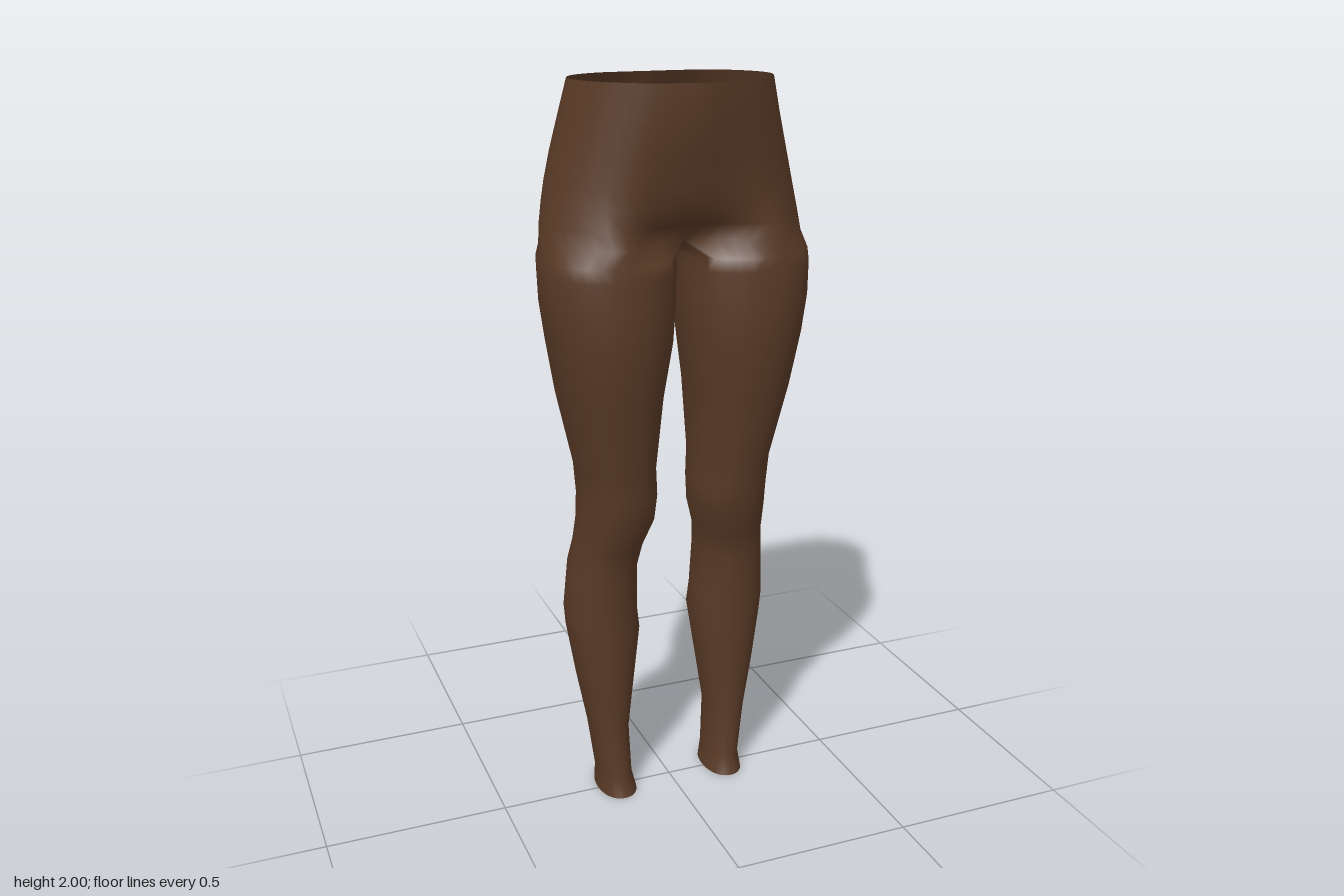
import * as THREE from 'three';
import { mergeVertices } from 'three/addons/utils/BufferGeometryUtils.js';

const OUTER = 24; // segments from front centre round the outside to back centre
const INNER = 12; // segments along the inside of the leg

// Leg rings: y, inner x, outer x, front z, back z, z of the widest point
const LEG = [
  [0, 0.11, 0.22, 0.08, -0.1, -0.01],
  [0.05, 0.12, 0.215, 0.06, -0.1, -0.02],
  [0.2, 0.125, 0.235, 0.055, -0.105, -0.025],
  [0.35, 0.105, 0.262, 0.065, -0.135, -0.035],
  [0.5, 0.085, 0.285, 0.07, -0.17, -0.04],
  [0.56, 0.092, 0.29, 0.072, -0.165, -0.04],
  [0.7, 0.095, 0.28, 0.082, -0.145, -0.03],
  [0.77, 0.085, 0.27, 0.1, -0.122, -0.01],
  [0.85, 0.06, 0.265, 0.135, -0.107, 0.01],
  [0.92, 0.055, 0.265, 0.145, -0.11, 0.02],
  [1.0, 0.06, 0.27, 0.155, -0.12, 0.02],
  [1.2, 0.045, 0.315, 0.195, -0.15, 0.03],
  [1.35, 0.022, 0.342, 0.218, -0.155, 0.04],
  [1.45, 0.015, 0.357, 0.218, -0.155, 0.045],
  [1.53, 0.012, 0.36, 0.214, -0.157, 0.045],
  [1.565, 0.012, 0.357, 0.21, -0.182, 0.04],
];

// Hip rows: y, front centre z, front z, outer x, side z, seat z, back centre z
const HIP = [
  [1.605, 0.1, 0.205, 0.352, 0.035, -0.212, -0.12],
  [1.65, 0.152, 0.195, 0.345, 0.03, -0.238, -0.185],
  [1.7, 0.185, 0.188, 0.336, 0.025, -0.249, -0.207],
  [1.75, 0.2, 0.188, 0.326, 0.02, -0.25, -0.213],
  [1.82, 0.218, 0.192, 0.31, 0.015, -0.235, -0.207],
  [1.91, 0.243, 0.2, 0.288, 0.01, -0.195, -0.178],
  [2, 0.247, 0.205, 0.267, 0.01, -0.147, -0.146],
];

function legRing([y, xi, xo, zf, zb, zc]) {
  const cx = (xi + xo) / 2, rx = (xo - xi) / 2;
  const soft = (v) => Math.sign(v) * Math.abs(v) ** 0.92;
  const start = 0.75 * Math.PI; // where the inside of the leg begins
  const at = (a) => {
    const s = soft(Math.sin(a));
    return new THREE.Vector3(cx + rx * soft(Math.cos(a)), y, zc + s * (s > 0 ? zf - zc : zc - zb));
  };
  const ring = [];
  for (let i = 0; i < OUTER; i++) ring.push(at(start - (i / OUTER) * 1.5 * Math.PI));
  for (let i = 0; i < INNER; i++) ring.push(at(-start - (i / INNER) * 0.5 * Math.PI));
  return ring;
}

function hipArc([y, fc, f, xo, zs, b, bc]) {
  const mix = THREE.MathUtils.lerp;
  const points = [
    [0, fc], [0.28, mix(fc, f, 0.35)], [0.56, f], [0.84, mix(zs, f, 0.62)], [1, zs],
    [0.84, mix(zs, b, 0.65)], [0.54, mix(zs, b, 0.95)], [0.28, b], [0.08, mix(bc, b, 0.45)], [0, bc],
  ].map(([x, z]) => new THREE.Vector3(x * xo, y, z));
  return new THREE.CatmullRomCurve3(points).getSpacedPoints(OUTER);
}

// Crotch row: the lowest hip arc closed by a saddle curve along the centre
function crotchRing(row) {
  const ring = hipArc(row);
  const front = ring[0].z, back = ring[OUTER].z;
  for (let i = 1; i < INNER; i++) {
    const t = i / INNER;
    const y = row[0] - 0.028 * Math.sin(t * Math.PI) ** 0.7;
    ring.push(new THREE.Vector3(0, y, THREE.MathUtils.lerp(back, front, t)));
  }
  return ring;
}

function buildGarment() {
  const positions = [], index = [];
  // Join successive rows, reversing the corners on the mirrored side
  const loft = (rows, closed, side) => {
    const base = positions.length / 3, n = rows[0].length;
    rows.forEach((row) => row.forEach((p) => positions.push(p.x * side, p.y, p.z)));
    for (let i = 0; i < rows.length - 1; i++) {
      for (let j = 0; j < (closed ? n : n - 1); j++) {
        const k = (j + 1) % n;
        const a = base + i * n + j, b = base + i * n + k;
        const c = b + n, d = a + n;
        if (side > 0) index.push(a, b, c, a, c, d);
        else index.push(a, c, b, a, d, c);
      }
    }
  };
  const legRows = [...LEG.map(legRing), crotchRing(HIP[0])];
  const hipRows = HIP.map(hipArc);
  for (const side of [1, -1]) {
    loft(legRows, true, side);
    loft(hipRows, false, side);
  }
  let geometry = new THREE.BufferGeometry();
  geometry.setAttribute('position', new THREE.Float32BufferAttribute(positions, 3));
  geometry.setIndex(index);
  // Weld the centre seam so that shading runs smoothly across it
  geometry = mergeVertices(geometry, 1e-4);
  geometry.computeVertexNormals();
  return geometry;
}

export function createModel() {
  const group = new THREE.Group();
  group.name = 'leggings';
  const brown = new THREE.MeshStandardMaterial({ color: 0x593a26, side: THREE.DoubleSide });
  brown.name = 'dark brown fabric';
  const garment = new THREE.Mesh(buildGarment(), brown);
  garment.name = 'hipsAndLegs';
  group.add(garment);
  return group;
}
